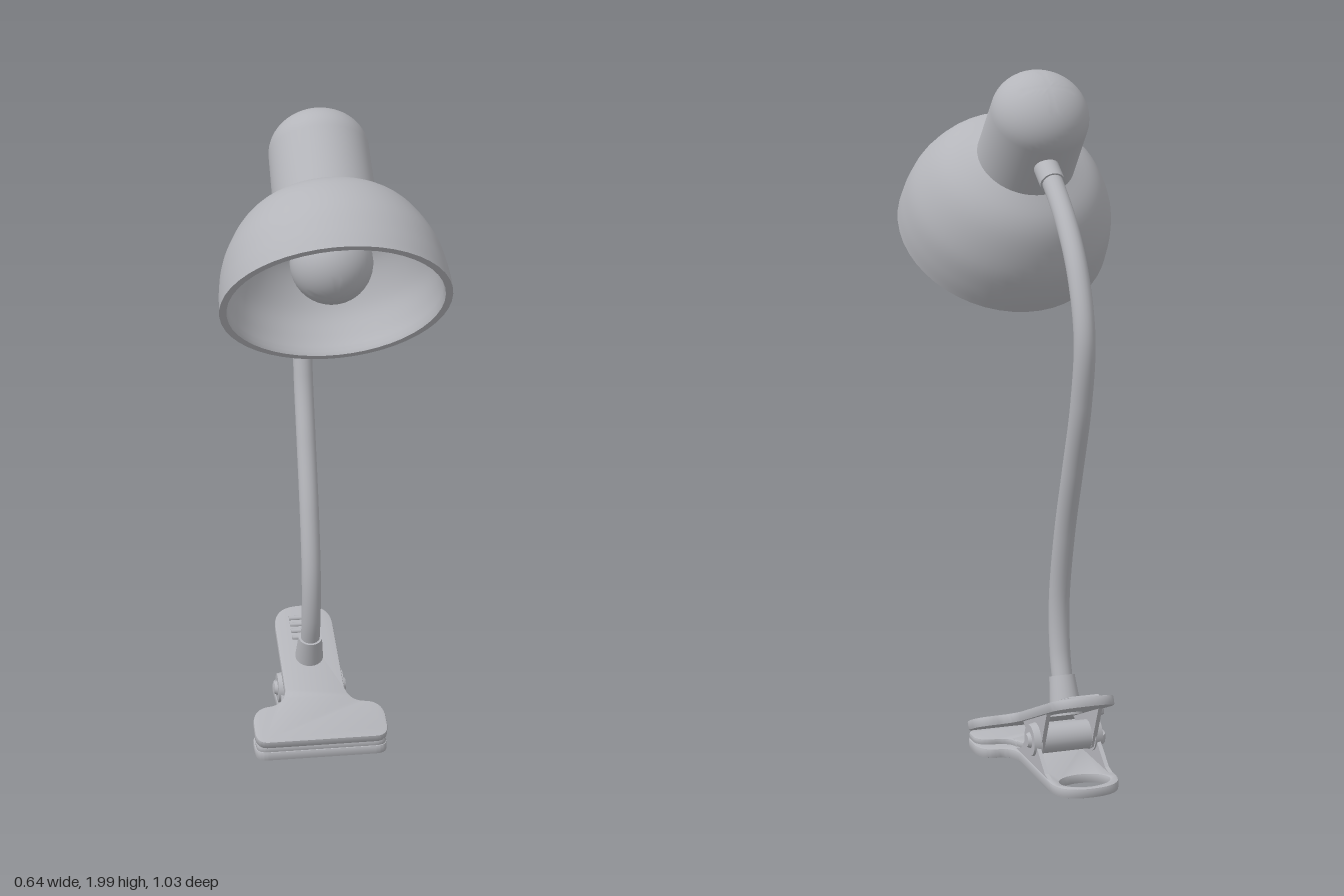
import * as THREE from 'three';
import { toCreasedNormals } from 'three/addons/utils/BufferGeometryUtils.js';

const V2 = (x, y) => new THREE.Vector2(x, y);
const V3 = (x, y, z) => new THREE.Vector3(x, y, z);

export function createModel() {
  const model = new THREE.Group();
  model.name = 'clipLamp';
  const grey = new THREE.MeshStandardMaterial({ color: 0xb4b5ba });
  grey.name = 'grey';

  const add = (parent, name, geometry) => {
    const mesh = new THREE.Mesh(geometry, grey);
    mesh.name = name;
    parent.add(mesh);
    return mesh;
  };
  const lathe = (points, crease = 0.6) => toCreasedNormals(new THREE.LatheGeometry(points, 48), crease);

  // Cylinder running between two points
  const rod = (parent, name, a, b, rA, rB) => {
    const mesh = add(parent, name, new THREE.CylinderGeometry(rB, rA, a.distanceTo(b), 24));
    mesh.position.copy(a).add(b).multiplyScalar(0.5);
    mesh.quaternion.setFromUnitVectors(V3(0, 1, 0), b.clone().sub(a).normalize());
    return mesh;
  };

  // Lamp head: local y is the lamp axis, y = 0 is the rim
  const head = new THREE.Group();
  head.name = 'lampHead';
  head.position.set(0, 1.515, 0.29);
  head.rotation.x = -0.775;
  model.add(head);

  // Shade shell
  const outer = new THREE.SplineCurve([
    V2(0.32, 0), V2(0.316, 0.06), V2(0.3, 0.14), V2(0.258, 0.225), V2(0.21, 0.278), V2(0.14, 0.318),
  ]).getPoints(24);
  const inner = new THREE.SplineCurve([
    V2(0.128, 0.3), V2(0.2, 0.262), V2(0.245, 0.213), V2(0.284, 0.135), V2(0.296, 0.06), V2(0.297, 0.012),
  ]).getPoints(24);
  add(head, 'shade', lathe([...inner, V2(0.3, 0), ...outer]));

  // Lamp housing: hollow, with a rounded end
  const housing = [V2(0, 0.56), V2(0.09, 0.54), V2(0.128, 0.48), V2(0.128, 0.29), V2(0.145, 0.29)];
  for (let i = 0; i <= 14; i++) {
    const a = (i / 14) * Math.PI / 2;
    housing.push(V2(0.142 * Math.cos(a), 0.488 + 0.118 * Math.sin(a)));
  }
  add(head, 'housing', lathe(housing));

  // Bulb with its neck
  const bulb = [];
  for (let i = 0; i <= 20; i++) {
    const a = -Math.PI / 2 + (i / 20) * 2.55;
    bulb.push(V2(Math.max(0, 0.115 * Math.cos(a)), 0.133 + 0.115 * Math.sin(a)));
  }
  bulb.push(V2(0.058, 0.27), V2(0.055, 0.55));
  add(head, 'bulb', lathe(bulb));

  // Gooseneck and its end collars
  const path = new THREE.CatmullRomCurve3([
    [1.735, -0.09], [1.69, -0.156], [1.576, -0.283], [1.448, -0.373], [1.28, -0.426], [1.093, -0.4],
    [0.9, -0.336], [0.695, -0.267], [0.493, -0.225], [0.345, -0.232], [0.23, -0.265],
  ].map(([y, z]) => V3(0, y, z)));
  add(model, 'gooseneck', new THREE.TubeGeometry(path, 80, 0.03, 20));
  rod(model, 'upperCollar', V3(0, 1.755, -0.065), V3(0, 1.683, -0.163), 0.036, 0.036);
  rod(model, 'lowerCollar', V3(0, 0.17, -0.288), V3(0, 0.278, -0.25), 0.047, 0.037);

  // Clip plates: T-shaped outline, running back from a wide jaw
  const outline = (length, half) => {
    const s = new THREE.Shape();
    const e = length - 0.09;
    s.moveTo(-0.165, 0);
    s.lineTo(0.165, 0);
    s.quadraticCurveTo(0.205, 0, 0.205, 0.045);
    s.lineTo(0.205, 0.085);
    s.quadraticCurveTo(0.2, 0.14, 0.15, 0.145);
    s.quadraticCurveTo(0.1, 0.15, half, 0.21);
    s.lineTo(half, e);
    s.bezierCurveTo(half, e + 0.06, half * 0.7, length, 0, length);
    s.bezierCurveTo(-half * 0.7, length, -half, e + 0.06, -half, e);
    s.lineTo(-half, 0.21);
    s.quadraticCurveTo(-0.1, 0.15, -0.15, 0.145);
    s.quadraticCurveTo(-0.2, 0.14, -0.205, 0.085);
    s.lineTo(-0.205, 0.045);
    s.quadraticCurveTo(-0.205, 0, -0.165, 0);
    return s;
  };
  const plate = (shape, thick) => {
    const bevel = 0.004;
    const g = new THREE.ExtrudeGeometry(shape, {
      depth: thick - 2 * bevel, bevelThickness: bevel, bevelSize: bevel, bevelOffset: -bevel,
      bevelSegments: 2, curveSegments: 12,
    });
    g.translate(0, 0, bevel).rotateX(-Math.PI / 2);
    return toCreasedNormals(g, 0.6);
  };

  const clip = new THREE.Group();
  clip.name = 'clip';
  model.add(clip);

  // Lower plate with an oval opening in the tail
  const lowerShape = outline(0.542, 0.1);
  const hole = new THREE.Path();
  hole.absellipse(0, 0.472, 0.074, 0.05, 0, Math.PI * 2, true);
  lowerShape.holes.push(hole);
  add(clip, 'lowerPlate', plate(lowerShape, 0.028)).position.z = 0.03;

  // Grip pad on the lower jaw
  const pad = add(clip, 'lowerJawPad', plate(outline(0.26, 0.095), 0.018));
  pad.scale.set(0.98, 1, 0.7);
  pad.position.set(0, 0.027, 0.028);

  // Upper plate, tilted up towards the back
  const upper = new THREE.Group();
  upper.name = 'upperArm';
  upper.position.set(0, 0.042, 0.03);
  upper.rotation.x = 0.395;
  clip.add(upper);
  add(upper, 'upperPlate', plate(outline(0.565, 0.093), 0.028));

  // Finger ridges on the handle
  for (let i = 0; i < 4; i++) {
    const ridge = rod(upper, 'gripRidge', V3(-0.045, 0.028, 0), V3(0.045, 0.028, 0), 0.008, 0.008);
    ridge.position.z = -0.425 - i * 0.028;
  }

  // Side cheeks: profiles in (distance back, height), extruded across x
  const cheek = (name, points, x) => {
    const g = new THREE.ExtrudeGeometry(new THREE.Shape(points.map(([b, y]) => V2(b, y))), {
      depth: 0.012, bevelEnabled: false,
    });
    g.translate(0, 0, -0.006).rotateY(Math.PI / 2);
    add(clip, name, g).position.x = x;
  };
  const pivotZ = -0.267;
  for (const side of [-1, 1]) {
    cheek('lowerCheek', [[0.1, 0.02], [0.44, 0.02], [0.38, 0.035], [0.31, 0.09], [0.29, 0.125],
      [0.25, 0.128], [0.225, 0.1], [0.17, 0.045]], side * 0.091);
    cheek('upperCheek', [[0.15, 0.118], [0.235, 0.065], [0.265, 0.052], [0.3, 0.07], [0.36, 0.208]],
      side * 0.078);
    rod(clip, 'pivotBoss', V3(side * 0.08, 0.1, pivotZ), V3(side * 0.104, 0.1, pivotZ), 0.05, 0.045);
    rod(clip, 'pivotCap', V3(side * 0.1, 0.1, pivotZ), V3(side * 0.114, 0.1, pivotZ), 0.025, 0.018);
  }

  // Pivot spring between the cheeks
  rod(clip, 'spring', V3(-0.075, 0.1, pivotZ), V3(0.075, 0.1, pivotZ), 0.042, 0.042);

  return model;
}
